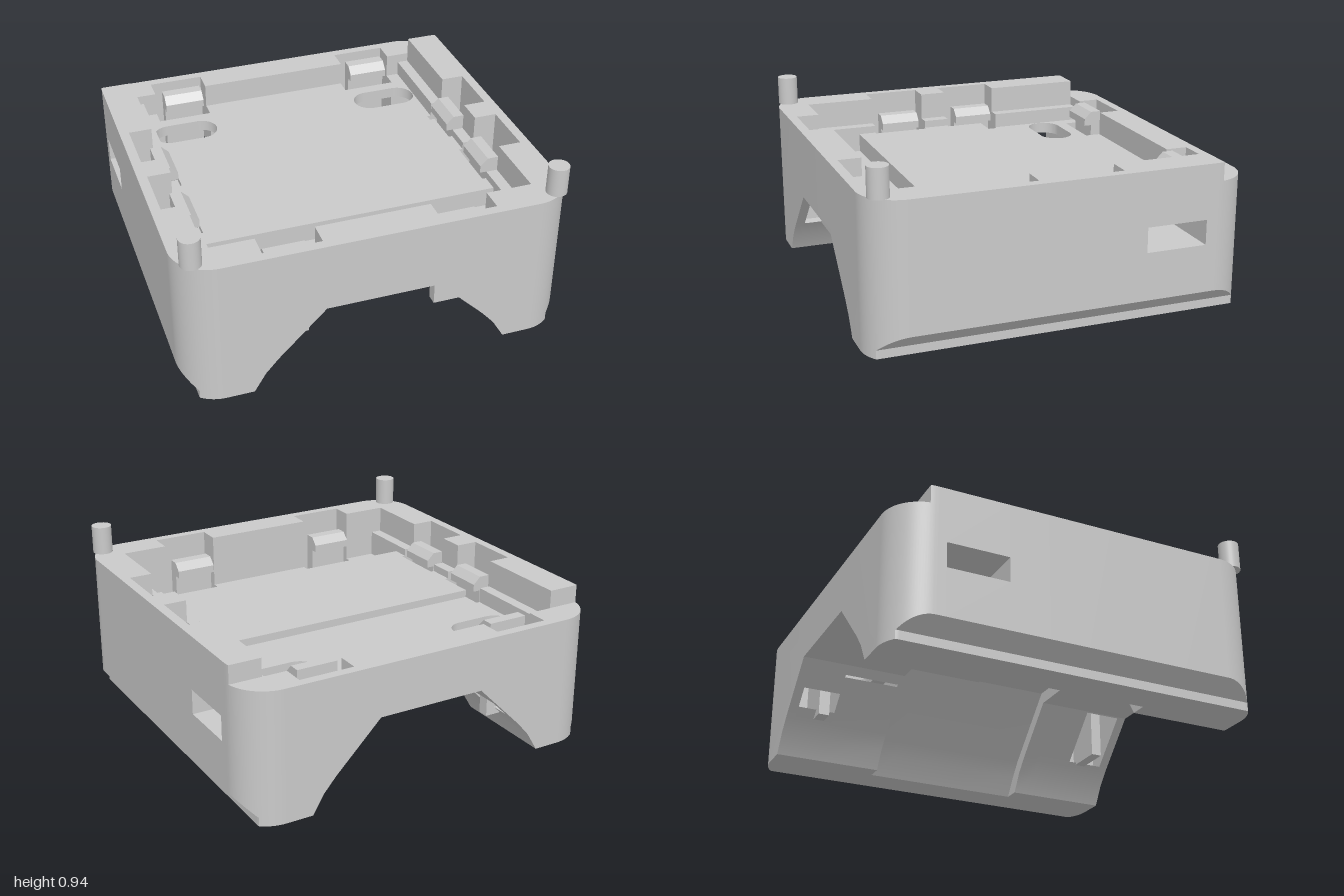
import * as THREE from 'three';
import { mergeGeometries, toCreasedNormals } from 'three/addons/utils/BufferGeometryUtils.js';

const TOP = 0.785, BACK = 0.69, LEDGE = 0.64;      // wall tops and inner ledge
const REAR = 0.56, MID = 0.6, FRONT = 0.5;         // floor levels
const ROOF = 0.42, SIDE_POCKET = 0.4;

// Half-width of the rounded outline at depth z
const halfWidth = (z) => {
  const d = Math.max(0, Math.abs(z) - 0.78);
  return 0.8 + Math.sqrt(Math.max(0, 0.04 - d * d));
};

// Half cross-section pieces (x >= 0)
const leg = [[0.535, 0.175], [0.6, 0.1], [0.66, 0]];
const outside = [[0.925, 0], [0.925, 0.045], [1, 0.12]];
const arch = [[0, ROOF], [0.29, ROOF], ...leg, ...outside];
const wideArch = [[0, 0.485], [0.31, 0.485], [0.62, 0.175], [0.68, 0.1], [0.745, 0], ...outside];
const wall = [[1, TOP], [0.83, TOP], [0.83, LEDGE], [0.77, LEDGE]];

const flat = (h) => [[...arch, [1, h], [0, h]]];
const tray = (under, f) => [[...under, ...wall, [0.77, f], [0, f]]];
const sidePocket = (f) => [[...wideArch, [1, TOP], [0.95, TOP], [0.95, SIDE_POCKET], [0.75, SIDE_POCKET], [0.75, f], [0, f]]];

// Section cut by a clip pocket from x = a to x = b, open to the arch below
const clipPocket = (a, b, bottom, upper, floor) => [
  [[0, ROOF], [0.29, ROOF], [a, ROOF - (a - 0.29)], [a, floor], [0, floor]],
  [[0.29 + ROOF - bottom, bottom], ...leg, ...outside, ...upper, [b, floor], [b, bottom]],
];

// Section through the side window, whose channel just breaks into the arch
const channel = [
  [[0.34, 0.37], ...leg, ...outside, [1, 0.37]],
  [[0, ROOF], [0.29, ROOF], [0.33, 0.38], [0.33, REAR], [0, REAR]],
  [[0.77, 0.5], [1, 0.5], ...wall],
];

const ledgeAt = (f) => [...wall, [0.77, f]];
const slices = [
  [-0.98, -0.93, flat(BACK)],
  [-0.93, -0.815, clipPocket(0.41, 0.7, 0.22, [[1, BACK]], BACK)],
  [-0.815, -0.73, clipPocket(0.41, 0.7, 0.22, ledgeAt(REAR), REAR)],
  [-0.73, -0.41, channel],
  [-0.41, -0.3, tray(wideArch, REAR)],
  [-0.3, -0.2, sidePocket(REAR)],
  [-0.2, 0, sidePocket(MID)],
  [0, 0.14, tray(wideArch, MID)],
  [0.14, 0.44, sidePocket(MID)],
  [0.44, 0.535, tray(arch, MID)],
  [0.535, 0.73, tray(arch, FRONT)],
  [0.73, 0.81, clipPocket(0.295, 0.59, 0.19, ledgeAt(FRONT), FRONT)],
  [0.81, 0.93, clipPocket(0.295, 0.59, 0.19, [[1, TOP]], TOP)],
  [0.93, 0.98, flat(TOP)],
];

const shapeOf = (pts, side = 1) => new THREE.Shape(pts.map(([x, y]) => new THREE.Vector2(x * side, y)));

// Extrude one section along z and trim it, with its lower chamfer, to the rounded outline
function sliceGeometry(pts, side, z0, z1) {
  const steps = Math.max(Math.abs(z0), Math.abs(z1)) > 0.78 ? 10 : 1;
  const g = new THREE.ExtrudeGeometry(shapeOf(pts, side), { depth: 1, steps, bevelEnabled: false });
  const p = g.attributes.position;
  for (let i = 0; i < p.count; i++) {
    let t = p.getZ(i), y = p.getY(i);
    if (z1 > 0.95) t = Math.sin(t * Math.PI / 2);
    if (z0 < -0.95) t = 1 - Math.sin((1 - t) * Math.PI / 2);
    const z = z0 + (z1 - z0) * t, w = halfWidth(z);
    const x = Math.min(Math.abs(p.getX(i)), w);
    if (Math.abs(y - 0.12) < 1e-4) y = 0.045 + Math.max(0, x - 0.925);
    p.setXYZ(i, x * Math.sign(p.getX(i)), y, z);
  }
  return g;
}

// Channel cover with an oval slot
function slotPlate(side) {
  const s = shapeOf([[0.33, 0.41], [0.77, 0.41], [0.77, 0.73], [0.33, 0.73]], side);
  const hole = new THREE.Path();
  hole.absarc(side * 0.589 + 0.087, 0.575, 0.09, -Math.PI / 2, Math.PI / 2, false);
  hole.absarc(side * 0.589 - 0.087, 0.575, 0.09, Math.PI / 2, Math.PI * 1.5, false);
  s.holes.push(hole);
  const g = new THREE.ExtrudeGeometry(s, { depth: REAR - 0.5, bevelEnabled: false, curveSegments: 16 });
  return toCreasedNormals(g.rotateX(-Math.PI / 2).translate(0, 0.5, 0), 0.5);
}

// Snap clip: upright stem with a flat-bottomed hook pointing inwards
function clipGeometry(bottom, outer) {
  const mid = outer - 0.058, inner = outer - 0.098;
  const s = shapeOf([[outer, bottom], [outer, 0.69], [mid, 0.69], [inner, 0.65], [inner, 0.61], [mid, 0.61], [mid, bottom]]);
  return new THREE.ExtrudeGeometry(s, { depth: 0.215, bevelEnabled: false }).translate(0, 0, -0.1075);
}

export function createModel() {
  const model = new THREE.Group();
  const grey = new THREE.MeshStandardMaterial({ color: 0xcacaca });
  grey.name = 'grey plastic';
  const add = (name, geometry) => {
    const m = new THREE.Mesh(geometry, grey);
    m.name = name;
    model.add(m);
    return m;
  };

  // Housing with arched underside
  const parts = [];
  for (const [z0, z1, sections] of slices)
    for (const pts of sections)
      for (const side of [1, -1]) parts.push(sliceGeometry(pts, side, z0, z1));
  add('housing', toCreasedNormals(mergeGeometries(parts), 0.5));

  const sideClip = clipGeometry(SIDE_POCKET, 0.853), endClip = clipGeometry(0.18, 0.832);
  for (const side of [1, -1]) {
    add('slotPlate', slotPlate(side));

    // Locating pegs on the front corners
    add('peg', new THREE.CylinderGeometry(0.053, 0.053, 0.15, 32)).position.set(side * 0.919, 0.861, 0.905);

    // Clips along the sides
    for (const z of [-0.155, 0.29]) {
      const c = add('sideClip', sideClip);
      c.rotation.y = side > 0 ? 0 : Math.PI;
      c.position.z = z;
    }

    // Clips at the front and back
    const f = add('frontClip', endClip);
    f.rotation.y = -Math.PI / 2;
    f.position.x = side * 0.44;
    const b = add('backClip', endClip);
    b.rotation.y = Math.PI / 2;
    b.position.x = side * 0.55;
  }
  return model;
}
